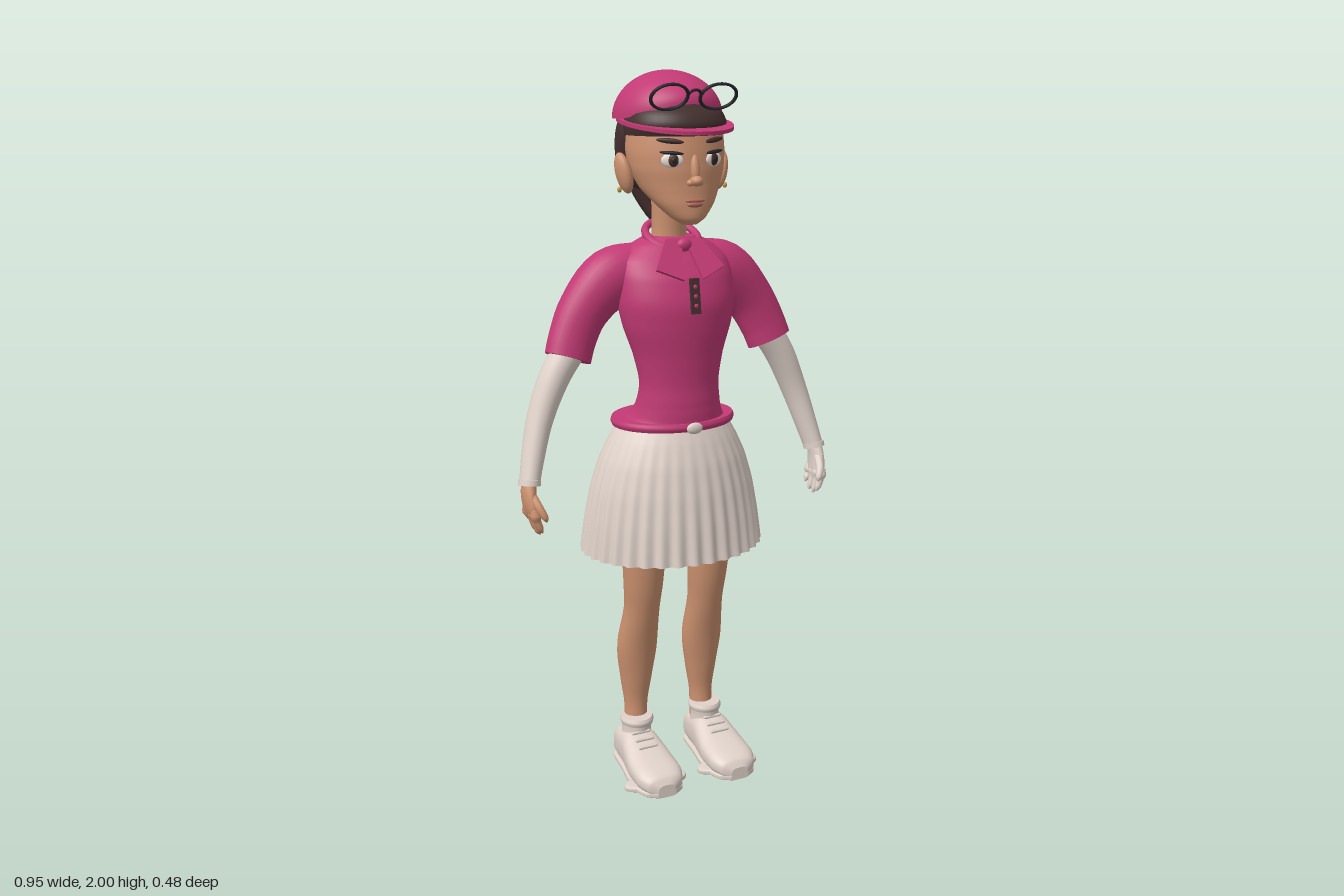
import * as THREE from 'three';

const mat = (name, color, side = THREE.FrontSide) => {
  const m = new THREE.MeshStandardMaterial({ color, side });
  m.name = name;
  return m;
};
const X = new THREE.Vector3(1, 0, 0), Y = new THREE.Vector3(0, 1, 0), Z = new THREE.Vector3(0, 0, 1);

// Smooth skin through sections [x, y, z, ru, rv]; rv lies along ref, ru across it
function loft(sections, { ref = Z, axis = null, seg = 28, sub = 5, power = 2, caps = true, mod = null } = {}) {
  const path = new THREE.CatmullRomCurve3(sections.map(s => new THREE.Vector3(s[0], s[1], s[2])));
  const radii = new THREE.CatmullRomCurve3(sections.map(s => new THREE.Vector3(s[3], s[4], 0)));
  const rows = (sections.length - 1) * sub, pos = [], idx = [];
  for (let i = 0; i <= rows; i++) {
    const f = i / rows, c = path.getPoint(f), r = radii.getPoint(f);
    const t = axis || path.getTangent(f);
    const v = ref.clone().addScaledVector(t, -ref.dot(t)).normalize();
    const u = v.clone().cross(t);
    for (let j = 0; j < seg; j++) {
      const a = j / seg * Math.PI * 2, k = mod ? mod(a, f) : 1;
      const e = n => Math.sign(n) * Math.abs(n) ** (2 / power) * k;
      const p = c.clone().addScaledVector(u, e(Math.cos(a)) * Math.max(r.x, 0.001))
        .addScaledVector(v, e(Math.sin(a)) * Math.max(r.y, 0.001));
      pos.push(p.x, p.y, p.z);
    }
  }
  for (let i = 0; i < rows; i++) for (let j = 0; j < seg; j++) {
    const a = i * seg + j, b = i * seg + (j + 1) % seg;
    idx.push(a, b, a + seg, b, b + seg, a + seg);
  }
  // end caps on their own vertices, so that the rims stay crisp
  if (caps) for (const [row, end] of [[0, 0], [rows, 1]]) {
    const start = pos.length / 3, c = path.getPoint(end);
    for (let j = 0; j < seg * 3; j++) pos.push(pos[row * seg * 3 + j]);
    pos.push(c.x, c.y, c.z);
    for (let j = 0; j < seg; j++) {
      const a = start + j, b = start + (j + 1) % seg;
      end ? idx.push(a, b, start + seg) : idx.push(b, a, start + seg);
    }
  }
  const g = new THREE.BufferGeometry();
  g.setAttribute('position', new THREE.Float32BufferAttribute(pos, 3));
  g.setIndex(idx);
  g.computeVertexNormals();
  return g;
}
// Upright body of rows [y, halfWidth, zFront, zBack]
const stack = (rows, o = {}) => loft(rows.map(([y, w, f, b]) => [0, y, (f + b) / 2, w, (f - b) / 2]), { axis: Y, seg: 40, ...o });

export function createModel() {
  const pink = mat('pink cloth', 0xc23a74, THREE.DoubleSide), cream = mat('cream cloth', 0xe0d2ca, THREE.DoubleSide);
  const skin = mat('skin', 0xcd9270), hair = mat('dark hair', 0x44302f), black = mat('black frame', 0x25272b);
  const white = mat('eye white', 0xe8e0da), iris = mat('brown iris', 0x4a2c20), lip = mat('lip', 0xb26a5a), gold = mat('gold', 0xc69a4e);
  const model = new THREE.Group();
  const add = (name, geo, material, p = [0, 0, 0], r = [0, 0, 0]) => {
    const m = new THREE.Mesh(geo, material);
    m.name = name;
    m.position.set(...p);
    m.rotation.set(...r);
    model.add(m);
    return m;
  };
  const blob = (name, material, p, s, r) => add(name, new THREE.SphereGeometry(1, 20, 14).scale(...s), material, p, r);

  // Head, neck and face
  add('head', stack([[1.607, .02, .15, .11], [1.622, .045, .164, .08], [1.66, .082, .166, .03], [1.7, .109, .164, -.03],
    [1.75, .129, .164, -.065], [1.8, .135, .16, -.08], [1.86, .13, .15, -.083], [1.92, .09, .1, -.06], [1.94, .02, .03, 0]]), skin);
  add('neck', stack([[1.5, .065, .06, -.05], [1.57, .048, .052, -.042], [1.7, .05, .07, -.05]]), skin);
  blob('nose bridge', skin, [0, 1.755, .16], [.013, .04, .014], [-.2, 0, 0]);
  blob('nose tip', skin, [0, 1.722, .17], [.017, .014, .02]);
  blob('upper lip', lip, [0, 1.671, .163], [.028, .006, .009]);
  blob('lower lip', lip, [0, 1.661, .163], [.023, .008, .009]);
  for (const s of [-1, 1]) {
    const turn = [0, s * .4, 0];
    blob('nostril', skin, [s * .014, 1.717, .162], [.01, .009, .012]);
    blob('eye', white, [s * .06, 1.775, .149], [.029, .019, .008], turn);
    blob('iris', iris, [s * .059, 1.775, .154], [.015, .016, .006], turn);
    blob('pupil', black, [s * .059, 1.775, .158], [.007, .008, .004], turn);
    blob('upper lashes', black, [s * .062, 1.794, .15], [.032, .005, .008], [0, s * .4, s * .08]);
    blob('eyebrow', hair, [s * .064, 1.824, .145], [.036, .007, .007], [0, s * .45, s * .1]);
    blob('ear', skin, [s * .142, 1.737, .025], [.02, .055, .032], [-.15, 0, -s * .2]);
    blob('earring', gold, [s * .157, 1.695, .03], [.006, .008, .006]);
  }

  // Hair with a tied tail falling to one side
  add('back hair', stack([[1.68, .05, -.01, -.055], [1.7, .1, 0, -.078], [1.77, .139, .03, -.092], [1.84, .143, .06, -.097],
    [1.9, .125, .06, -.09]]), hair);
  add('top hair', stack([[1.835, .137, .158, -.085], [1.862, .14, .17, -.09], [1.89, .132, .158, -.09], [1.925, .1, .115, -.08]]), hair);
  add('ponytail', loft([[0, 1.838, -.08, .016, .035], [0, 1.832, -.135, .024, .048], [.012, 1.775, -.185, .028, .056],
    [.03, 1.69, -.21, .026, .052], [.058, 1.61, -.2, .02, .036], [.08, 1.553, -.183, .008, .014]], { ref: X, power: 2.6 }), hair);
  add('hair tie', new THREE.TorusGeometry(.034, .01, 8, 24).scale(1.15, .75, 1), pink, [0, 1.838, -.1]);

  // Cap: dome raised over the forehead, and a crescent peak
  const dome = new THREE.SphereGeometry(1, 48, 18, 0, Math.PI * 2, 0, Math.PI / 2).scale(.147, .125, .15);
  const dp = dome.attributes.position;
  for (let i = 0; i < dp.count; i++)
    dp.setY(i, dp.getY(i) + .04 * Math.max(0, dp.getZ(i) / .15) ** 2 * (1 - dp.getY(i) / .125));
  dome.computeVertexNormals();
  add('cap dome', dome, pink, [0, 1.875, -.008]);
  blob('cap button', pink, [0, 2 - .003, -.008], [.01, .003, .01]);
  const arc = (rx, rz) => Array.from({ length: 33 }, (_, i) => {
    const a = -.5 + i / 32 * (Math.PI + 1);
    return new THREE.Vector2(rx * Math.cos(a), .04 + rz * Math.sin(a));
  });
  const peak = new THREE.Shape([...arc(.15, .182), ...arc(.135, .115).reverse()]);
  add('cap peak', new THREE.ExtrudeGeometry(peak, { depth: .01, bevelEnabled: false }).rotateX(Math.PI / 2), pink, [0, 1.876, 0], [.12, 0, 0]);

  // Spectacles resting on the cap
  for (const s of [-1, 1])
    add('spectacle rim', new THREE.TorusGeometry(.048, .0045, 8, 40).scale(1.08, .78, 1), black, [s * .07, 1.934, .154], [.55, 0, 0]);
  add('spectacle bridge', new THREE.TorusGeometry(.018, .004, 6, 16, Math.PI), black, [0, 1.936, .155], [.55, 0, 0]);

  // Shirt
  add('shirt body', stack([[1.05, .16, .155, -.1], [1.075, .136, .156, -.07], [1.11, .122, .155, -.035], [1.17, .115, .152, -.015],
    [1.25, .13, .156, -.03], [1.33, .157, .163, -.05], [1.4, .17, .162, -.065], [1.46, .17, .143, -.075], [1.505, .16, .115, -.07],
    [1.545, .115, .085, -.06], [1.565, .075, .065, -.045]], { seg: 56 }), pink);
  add('collar', new THREE.TorusGeometry(.073, .011, 10, 40).rotateX(Math.PI / 2), pink, [0, 1.566, .02], [.45, 0, 0]);
  for (const s of [-1, 1]) {
    const tail = new THREE.Shape([[.005, .012], [.05, .014], [.1, -.075], [.028, -.11]].map(([x, y]) => new THREE.Vector2(s * x, y)));
    add('scarf tail', new THREE.ExtrudeGeometry(tail, { depth: .008, bevelEnabled: false }), pink, [0, 1.55, .092], [-.6, 0, 0]);
  }
  blob('scarf knot', pink, [0, 1.548, .098], [.022, .018, .014]);
  add('placket', new THREE.BoxGeometry(.027, .095, .008), hair, [0, 1.42, .166], [-.15, 0, 0]);
  for (const y of [1.395, 1.42, 1.445]) blob('button', pink, [0, y, .171 - (y - 1.42) * .15], [.006, .006, .003]);

  // Belt and buckle
  add('belt', stack([[1.047, .176, .164, -.11], [1.058, .18, .168, -.114], [1.069, .176, .164, -.11]]), pink);
  blob('belt buckle', cream, [0, 1.057, .168], [.024, .016, .009]);

  // Pleated skirt, open below, with shorts underneath
  add('skirt', stack([[1.052, .16, .152, -.098], [1.01, .185, .17, -.118], [.95, .213, .19, -.142], [.87, .236, .207, -.162],
    [.78, .252, .22, -.178], [.683, .264, .23, -.19]].reverse(), {
    seg: 272, caps: false, mod: (a, f) => 1 + .024 * (1 - f) ** 1.4 * Math.cos(a * 34),
  }), cream);
  add('shorts seat', stack([[.8, .15, .12, -.06], [.9, .17, .135, -.09], [1.03, .15, .14, -.08]]), pink);

  for (const s of [-1, 1]) {
    const limb = (name, rows, material, o) => add(name, loft(rows.map(([x, ...rest]) => [s * x, ...rest]), o), material);

    // Arms: sleeve, undersleeve and hand; the left hand is gloved
    limb('sleeve', [[.09, 1.475, -.003, .075, .068], [.17, 1.455, -.006, .082, .073], [.252, 1.375, -.002, .071, .062],
      [.292, 1.3, .012, .067, .052], [.309, 1.252, .022, .066, .049]], pink);
    limb('undersleeve', [[.285, 1.3, .02, .045, .042], [.345, 1.21, .02, .042, .044], [.393, 1.1, .026, .036, .041],
      [.424, 1, .046, .031, .036], [.443, .928, .065, .027, .032]], cream);
    limb('cuff', [[.442, .94, .063, .03, .035], [.444, .925, .066, .03, .035]], cream);
    const handMat = s > 0 ? cream : skin, small = { seg: 12, sub: 4 };
    limb('palm', [[.443, .94, .064, .02, .022], [.448, .905, .07, .019, .033], [.446, .865, .077, .016, .039], [.44, .84, .08, .011, .034]], handMat, { seg: 20 });
    [[.046, .815], [.068, .797], [.09, .793], [.11, .803]].forEach(([z, y]) =>
      limb('finger', [[.445, .87, z, .011, .011], [.441, .84, z + .001, .011, .011], [.432, y + .012, z + .003, .009, .009],
        [.426, y, z + .004, .002, .002]], handMat, small));
    limb('thumb', [[.445, .905, .085, .012, .013], [.435, .875, .117, .011, .012], [.424, .85, .13, .009, .009], [.42, .838, .132, .002, .002]], handMat, small);

    // Legs
    limb('shorts leg', [[.08, .88, .045, .085, .085], [.098, .8, .055, .078, .077], [.103, .735, .056, .073, .071]], pink);
    limb('leg', [[.1, .8, .055, .07, .07], [.103, .68, .055, .063, .061], [.102, .58, .047, .057, .055], [.102, .5, .035, .052, .049],
      [.105, .38, .008, .06, .048], [.106, .27, 0, .047, .04], [.107, .18, 0, .034, .032], [.108, .09, .005, .034, .034]], skin);

    // Socks and shoes
    limb('sock', [[.114, .07, .015, .046, .05], [.113, .12, .018, .042, .046], [.112, .142, .018, .043, .047]], cream);
    limb('sock cuff', [[.112, .136, .018, .046, .05], [.112, .147, .018, .049, .053], [.112, .158, .018, .045, .049]], cream);
    limb('shoe', [[-.057, .024, .06], [-.048, .042, .095], [-.01, .05, .11], [.045, .057, .118], [.085, .064, .102], [.13, .07, .083],
      [.185, .07, .07], [.225, .054, .055], [.24, .026, .035]].map(([z, w, h]) => [.117, h / 2 + .003, z, w, h / 2]),
    cream, { ref: Y, axis: Z, power: 2.7, seg: 36 });
    limb('sole', [[-.055, .03], [-.04, .047], [.05, .058], [.13, .071], [.185, .071], [.222, .056], [.24, .028]]
      .map(([z, w]) => [.117, .009, z, w, .009]), cream, { ref: Y, axis: Z, power: 5, seg: 36 });
    for (const i of [0, 1, 2])
      add('shoe lace', new THREE.CapsuleGeometry(.005, .05, 4, 8).rotateZ(Math.PI / 2), cream, [s * .117, .119 - i * .0115, .06 + i * .025]);
  }
  return model;
}
